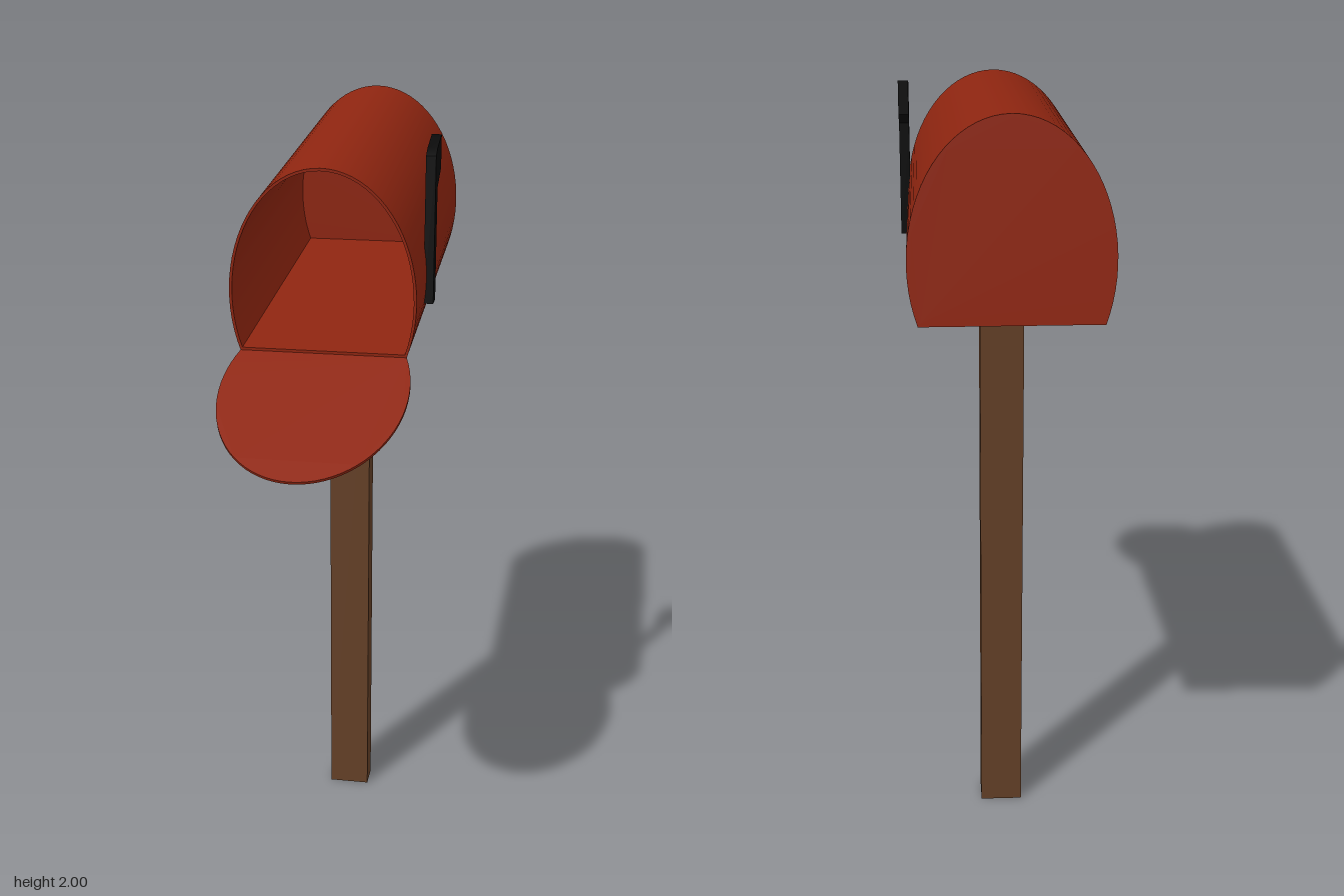
import * as THREE from 'three';
import { toCreasedNormals } from 'three/addons/utils/BufferGeometryUtils.js';

const HALF_WIDTH = 0.23, HEIGHT = 0.46, LENGTH = 0.937, WALL = 0.007;

// Flat-bottomed oval standing on y = 0, shrunk inwards by inset
function ovalPoints(inset = 0) {
  const centre = 0.14, rx = HALF_WIDTH - inset, ry = HEIGHT - centre - inset;
  const start = -Math.asin((centre - inset) / ry), points = [], steps = 48;
  for (let i = 0; i <= steps; i++) {
    const t = start + (Math.PI - 2 * start) * i / steps;
    points.push(new THREE.Vector2(rx * Math.cos(t), centre + ry * Math.sin(t)));
  }
  return points;
}

function extrude(shape, depth) {
  return toCreasedNormals(new THREE.ExtrudeGeometry(shape, { depth, bevelEnabled: false }), 0.5);
}

function addMesh(parent, name, geometry, material) {
  const mesh = new THREE.Mesh(geometry, material);
  mesh.name = name;
  parent.add(mesh);
  return mesh;
}

export function createModel() {
  const red = new THREE.MeshStandardMaterial({ color: 0x8e2510 });
  red.name = 'red paint';
  const wood = new THREE.MeshStandardMaterial({ color: 0x633f26 });
  wood.name = 'brown wood';
  const black = new THREE.MeshStandardMaterial({ color: 0x0a0a0a });
  black.name = 'black metal';

  const model = new THREE.Group();
  model.name = 'mailbox';

  // Wooden post
  addMesh(model, 'post', new THREE.BoxGeometry(0.11, 1.512, 0.07), wood)
    .position.set(-0.01, 0.756, -0.195);

  // Hollow box, tipped slightly down towards the open front
  const box = new THREE.Group();
  box.name = 'box';
  box.position.set(-0.01, 1.48, 0.255);
  box.rotation.x = 0.064;
  model.add(box);

  const shell = new THREE.Shape(ovalPoints());
  shell.holes.push(new THREE.Path(ovalPoints(WALL).reverse()));
  addMesh(box, 'shell', extrude(shell, LENGTH), red).position.z = -LENGTH;
  addMesh(box, 'backPanel', extrude(new THREE.Shape(ovalPoints(WALL)), WALL), red)
    .position.z = -LENGTH;

  // Open door hanging from the lower front edge
  const door = addMesh(model, 'door', extrude(new THREE.Shape(ovalPoints()), 0.007), red);
  door.position.set(-0.01, 1.48, 0.255);
  door.rotation.x = Math.atan2(0.43, -0.172);

  // Signal flag on the left side, outlined in (-z, y)
  const outline = [[-0.065, 1.565], [-0.02, 1.565], [-0.02, 1.85], [0.052, 1.885],
    [0.052, 1.968], [-0.035, 1.95], [-0.065, 1.935]];
  const flagShape = new THREE.Shape(outline.map(([x, y]) => new THREE.Vector2(x, y)));
  const flag = addMesh(model, 'flag', extrude(flagShape, 0.025), black);
  flag.position.x = 0.213;
  flag.rotation.y = Math.PI / 2;

  return model;
}
